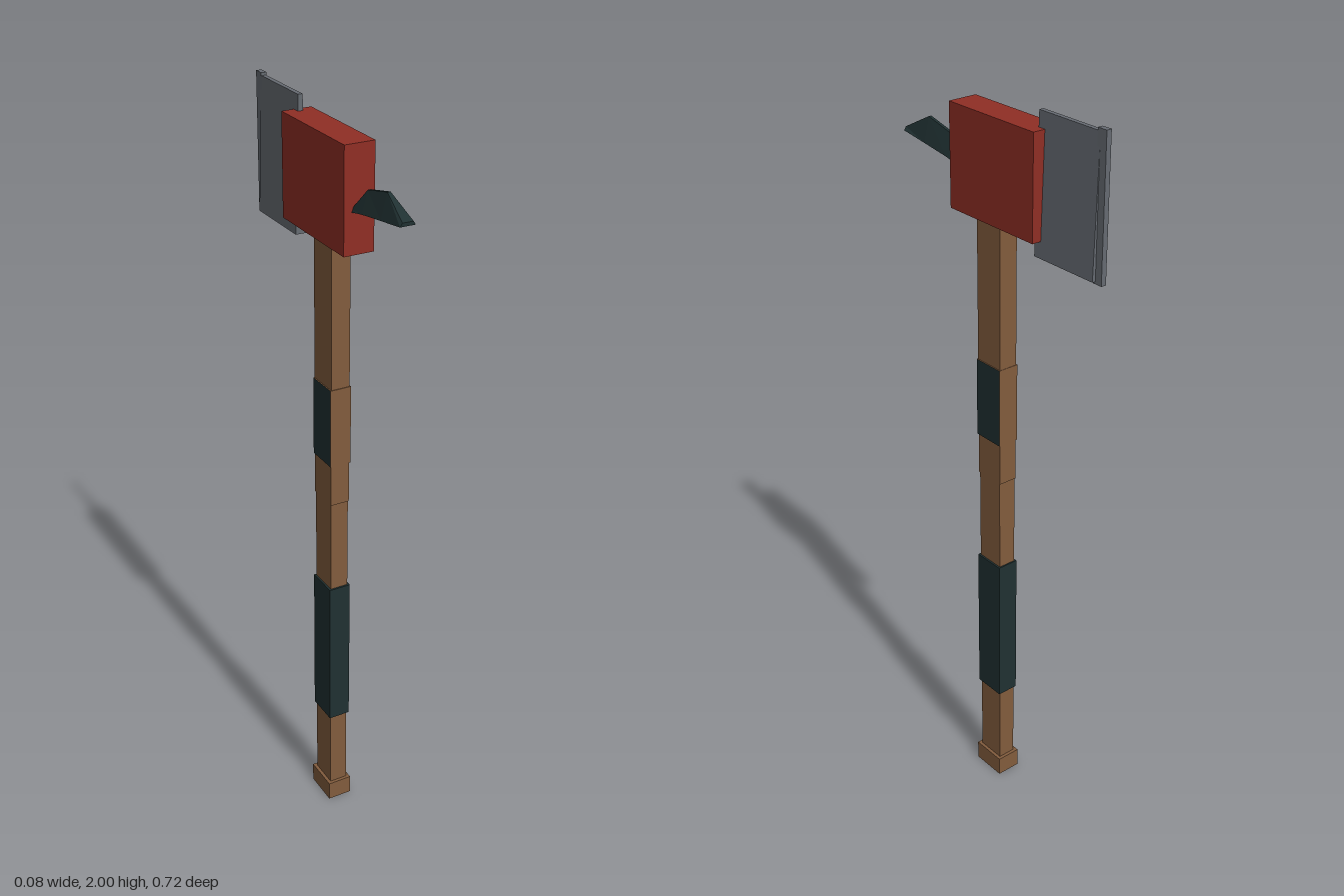
import * as THREE from 'three';

const mat = (name, color) => {
  const m = new THREE.MeshStandardMaterial({ color });
  m.name = name;
  return m;
};

// Box given by its half width in x and its y and z limits
function slab(halfX, y0, y1, z0, z1) {
  const g = new THREE.BoxGeometry(halfX * 2, y1 - y0, z1 - z0);
  return g.translate(0, (y0 + y1) / 2, (z0 + z1) / 2);
}

// Loft of four-sided sections along z: [z, bottomY, topY, bottomHalf, topHalf]
function loft(sections) {
  const corners = sections.map(([z, yb, yt, wb, wt]) => [
    [-wb, yb, z], [wb, yb, z], [wt, yt, z], [-wt, yt, z],
  ]);
  const pos = [];
  const quad = (a, b, c, d) => pos.push(...a, ...b, ...c, ...a, ...c, ...d);
  for (let i = 0; i < corners.length - 1; i++) {
    const p = corners[i], q = corners[i + 1];
    for (let k = 0; k < 4; k++) {
      const n = (k + 1) % 4;
      quad(p[k], p[n], q[n], q[k]);
    }
  }
  const first = corners[0], last = corners[corners.length - 1];
  quad(first[3], first[2], first[1], first[0]);
  quad(last[0], last[1], last[2], last[3]);
  const g = new THREE.BufferGeometry();
  g.setAttribute('position', new THREE.Float32BufferAttribute(pos, 3));
  g.computeVertexNormals();
  return g;
}

export function createModel() {
  const wood = mat('wood', 0x825c3d);
  const grip = mat('dark grip', 0x203132);
  const red = mat('red paint', 0x902e25);
  const steel = mat('steel', 0x666b72);

  const axe = new THREE.Group();
  axe.name = 'axe';
  const add = (name, geometry, material) => {
    const mesh = new THREE.Mesh(geometry, material);
    mesh.name = name;
    axe.add(mesh);
  };

  // Handle, a touch thicker in its upper half
  add('pommel', slab(0.034, 0, 0.055, -0.031, 0.068), wood);
  add('lowerHandle', slab(0.025, 0.05, 0.98, -0.022, 0.059), wood);
  add('upperHandle', slab(0.026, 0.98, 1.7, -0.025, 0.062), wood);

  // Wraps: full grip below, side-only patches above
  add('lowerGrip', slab(0.03, 0.29, 0.72, -0.026, 0.064), grip);
  add('upperWrap', slab(0.029, 1.095, 1.31, -0.026, 0.064),
    [grip, grip, wood, wood, wood, wood]);

  // Head block
  add('headBlock', slab(0.04, 1.69, 1.953, -0.159, 0.146), red);

  // Blade body thickens downward, with a thin cutting edge behind it
  add('bladeBody', loft([
    [-0.338, 1.648, 1.993, 0.016, 0.006],
    [-0.138, 1.648, 1.993, 0.016, 0.006],
  ]), steel);
  add('cuttingEdge', slab(0.007, 1.642, 2, -0.358, -0.33), steel);

  // Spike with a narrow raised ridge, drooping to a chisel tip
  add('spike', loft([
    [0.14, 1.793, 1.8, 0.02, 0.017],
    [0.19, 1.803, 1.858, 0.02, 0.004],
    [0.275, 1.815, 1.878, 0.02, 0.004],
    [0.357, 1.826, 1.835, 0.02, 0.014],
  ]), grip);

  return axe;
}
